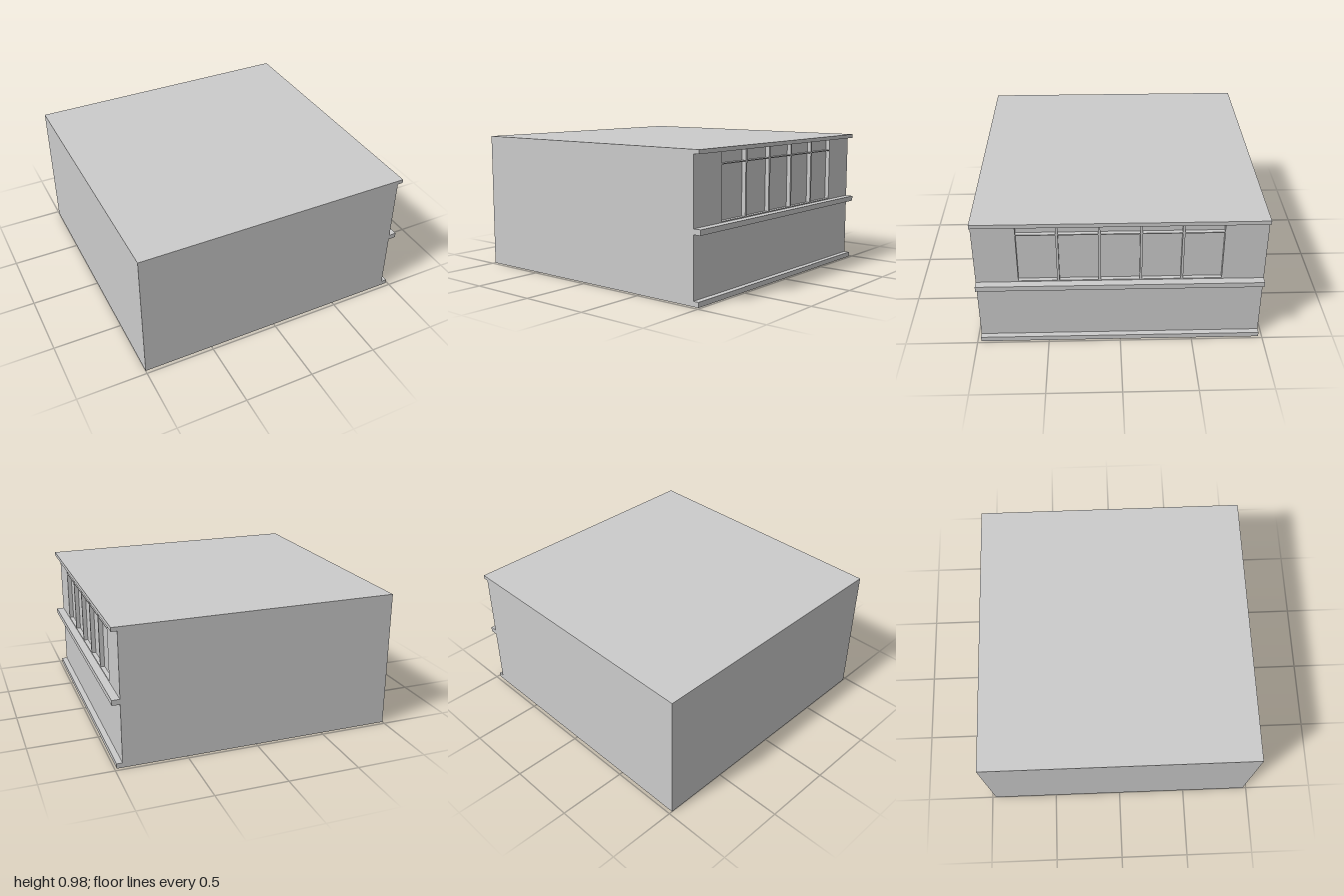
import * as THREE from 'three';

const HEIGHT = 0.975, DEPTH = 1.95;
const LEFT_END = -1, GLASS_X = 0.915, WALL_X = 0.945;

export function createModel() {
  const model = new THREE.Group();
  model.name = 'building';
  const material = new THREE.MeshStandardMaterial({ color: 0xcccccc, flatShading: true });

  const add = (name, geometry) => {
    const mesh = new THREE.Mesh(geometry, material);
    mesh.name = name;
    model.add(mesh);
    return mesh;
  };

  // Full-depth block between two x and two y values
  const block = (name, x0, x1, y0, y1) =>
    add(name, new THREE.BoxGeometry(x1 - x0, y1 - y0, DEPTH))
      .position.set((x0 + x1) / 2, (y0 + y1) / 2, 0);

  // Solid body; its +x face is the window glass
  block('body', LEFT_END, GLASS_X, 0, HEIGHT);

  // Facade wall with recessed windows, each split by a transom
  const rectangle = (path, x0, x1, y0, y1) =>
    path.moveTo(x0, y0).lineTo(x1, y0).lineTo(x1, y1).lineTo(x0, y1).closePath();
  const wall = new THREE.Shape();
  rectangle(wall, -DEPTH / 2, DEPTH / 2, 0, HEIGHT);

  const pitch = 0.278, paneWidth = 0.262;
  const paneRows = [[0.496, 0.861], [0.868, 0.943]];
  for (let i = -2; i <= 2; i++) {
    for (const [y0, y1] of paneRows) {
      const hole = new THREE.Path();
      rectangle(hole, i * pitch - paneWidth / 2, i * pitch + paneWidth / 2, y0, y1);
      wall.holes.push(hole);
    }
  }
  const facade = add('windowWall', new THREE.ExtrudeGeometry(wall, {
    depth: WALL_X - GLASS_X, bevelEnabled: false,
  }));
  facade.rotation.y = Math.PI / 2;
  facade.position.x = GLASS_X;

  // Horizontal mouldings along the facade
  block('baseTrim', WALL_X, 0.985, 0, 0.035);
  block('windowLedge', WALL_X, 1, 0.452, 0.489);
  block('cornice', WALL_X, 0.985, 0.947, HEIGHT);

  return model;
}
